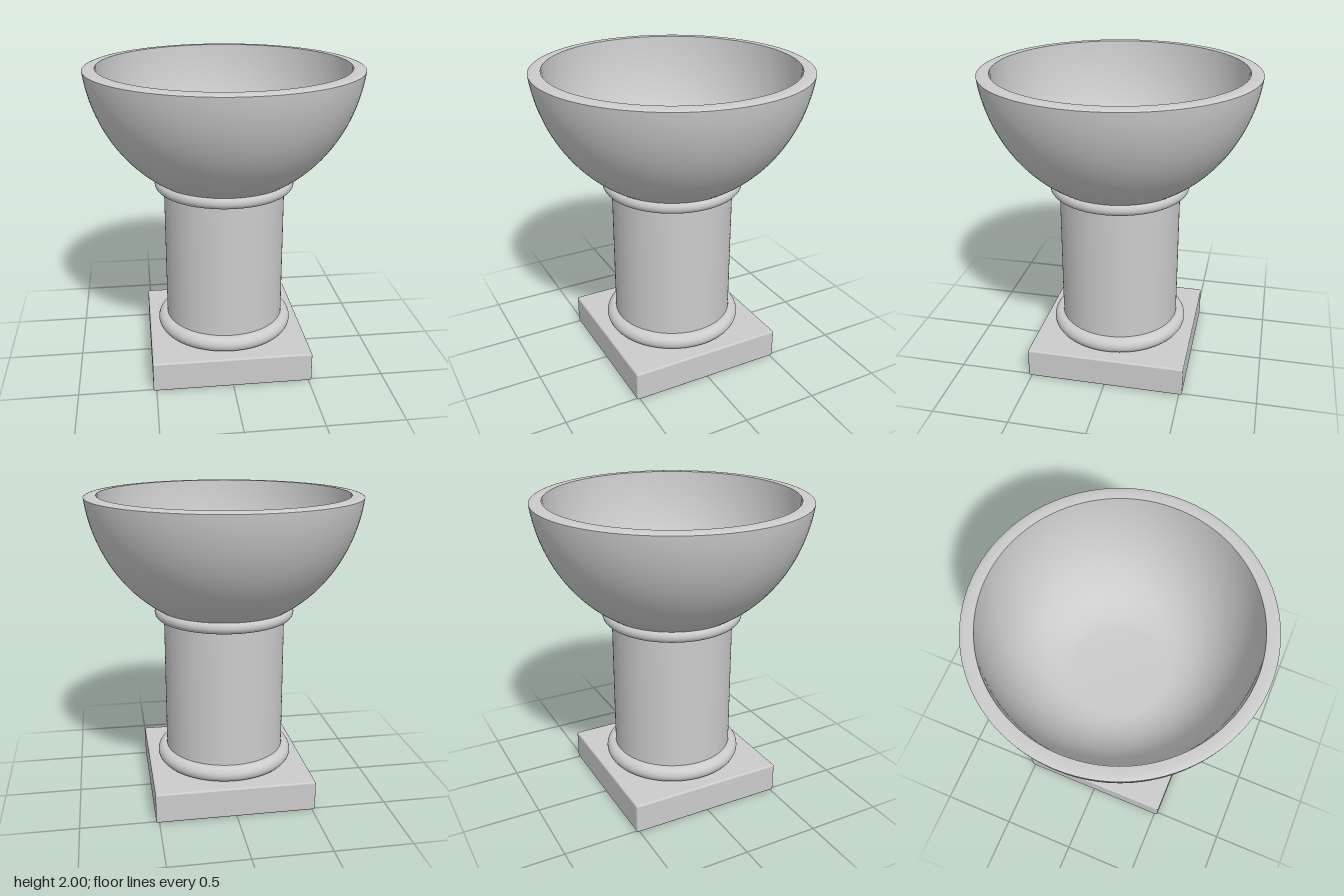
import * as THREE from 'three';
import { RoundedBoxGeometry } from 'three/addons/geometries/RoundedBoxGeometry.js';

const SEGMENTS = 96;

export function createModel() {
  const group = new THREE.Group();
  const material = new THREE.MeshStandardMaterial({ color: 0xcccccc });

  function add(name, geometry, y = 0) {
    const mesh = new THREE.Mesh(geometry, material);
    mesh.name = name;
    mesh.position.y = y;
    group.add(mesh);
    return mesh;
  }

  const lathe = (points) => new THREE.LatheGeometry(points, SEGMENTS);
  const v = (x, y) => new THREE.Vector2(x, y);

  // Half-round collar from y0 to y1
  function collar(name, y0, y1, radius) {
    const r = (y1 - y0) / 2;
    const points = [v(0.36, y0)];
    for (let i = 0; i <= 14; i++) {
      const a = -Math.PI / 2 + (Math.PI * i) / 14;
      points.push(v(radius - r + Math.cos(a) * r, y0 + r + Math.sin(a) * r));
    }
    points.push(v(0.36, y1));
    add(name, lathe(points));
  }

  // Square foot with softened edges
  add('plinth', new RoundedBoxGeometry(1.04, 0.2, 1.04, 3, 0.012), 0.1);

  // Column shaft and its two collars
  add('column', new THREE.CylinderGeometry(0.395, 0.395, 1.08, SEGMENTS, 1, true), 0.74);
  collar('lowerCollar', 0.2, 0.305, 0.455);
  collar('upperCollar', 1.2, 1.285, 0.455);

  // Bowl outside: a slice of an ellipsoid
  const outer = [];
  for (let i = 0; i <= 32; i++) {
    const a = THREE.MathUtils.lerp(1.15, 0.116, i / 32);
    outer.push(v(0.88 * Math.cos(a), 2.1 - 0.95 * Math.sin(a)));
  }
  add('bowlOutside', lathe(outer));

  // Gently domed rim
  const edge = outer[outer.length - 1];
  const rim = new THREE.QuadraticBezierCurve(edge, v(0.855, 2.003), v(0.795, 2));
  add('bowlRim', lathe(rim.getPoints(8)));

  // Bowl inside, running down to a flat floor
  const inner = new THREE.CubicBezierCurve(v(0.795, 2), v(0.76, 1.6), v(0.58, 1.3), v(0.3, 1.28));
  add('bowlInside', lathe([...inner.getPoints(32), v(0.15, 1.275), v(0, 1.275)]));

  return group;
}
